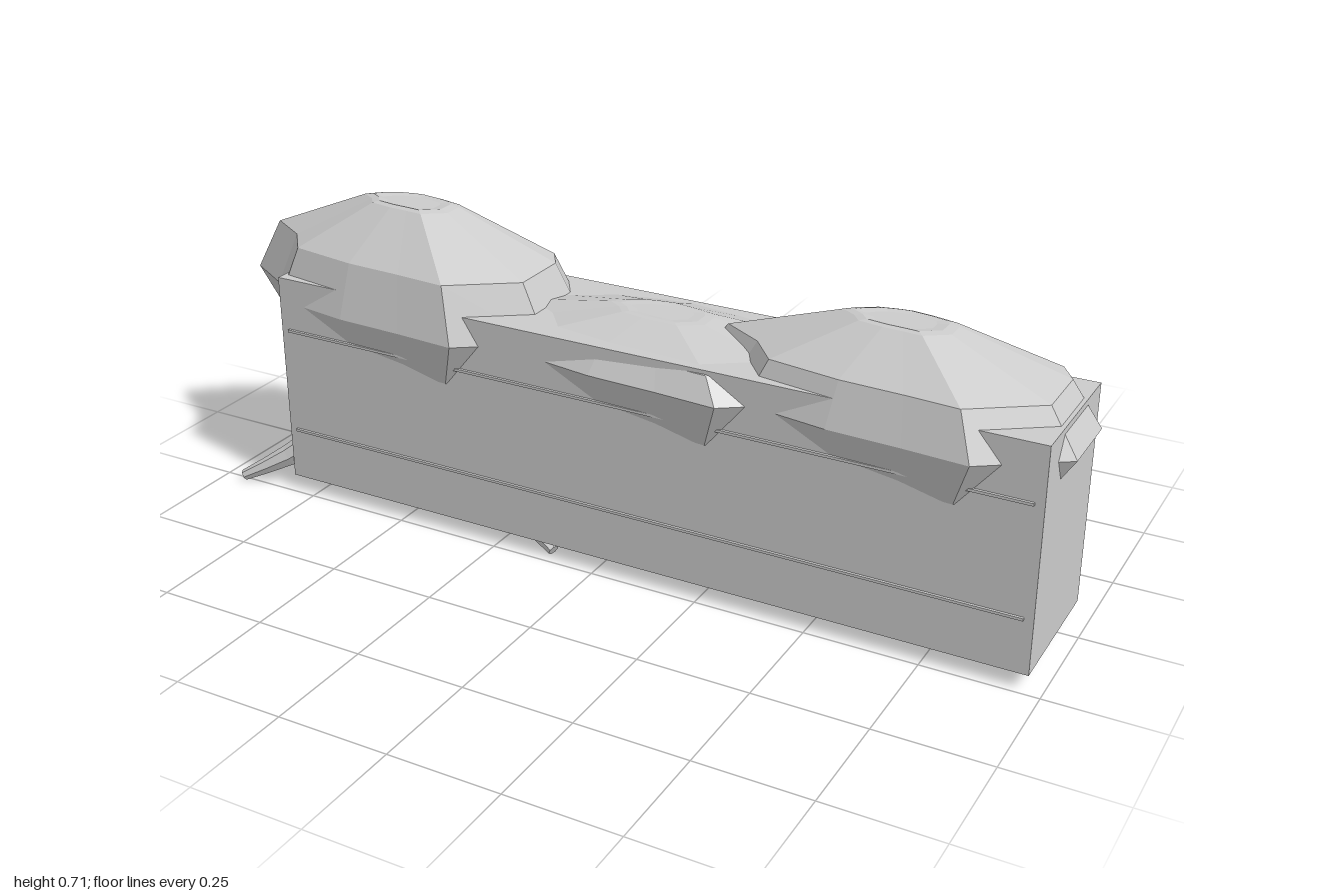
import * as THREE from 'three';

const material = new THREE.MeshStandardMaterial({ color: 0xcccccc, flatShading: true, side: THREE.DoubleSide });

// Skin over a list of closed rings (arrays of Vector3)
function loft(rings) {
  const n = rings[0].length, pos = [], idx = [];
  rings.forEach(r => r.forEach(p => pos.push(p.x, p.y, p.z)));
  for (let i = 0; i < rings.length - 1; i++) {
    for (let j = 0; j < n; j++) {
      const a = i * n + j, b = i * n + (j + 1) % n, c = b + n, d = a + n;
      idx.push(a, d, c, a, c, b);
    }
  }
  const g = new THREE.BufferGeometry();
  g.setAttribute('position', new THREE.Float32BufferAttribute(pos, 3));
  g.setIndex(idx);
  g.computeVertexNormals();
  return g;
}

function addMesh(group, name, geometry, x = 0, y = 0, z = 0) {
  const mesh = new THREE.Mesh(geometry, material);
  mesh.name = name;
  mesh.position.set(x, y, z);
  group.add(mesh);
  return mesh;
}

// Uneven plan of a foliage clump [x, z], about its own centre
const outline = [
  [-0.45, 0], [-0.37, -0.08], [-0.24, -0.155], [-0.09, -0.19], [0, -0.2], [0.17, -0.178],
  [0.35, -0.14], [0.39, -0.08], [0.39, 0.08], [0.22, 0.197], [0.08, 0.187],
  [-0.08, 0.18], [-0.27, 0.15], [-0.34, 0.065]
];

// Clump levels: [height, plan scale], ending in a shallow dimple
function clump(height) {
  const levels = [
    [-0.105, 0], [-0.105, 0.83], [0, 1], [height * 0.53, 0.84],
    [height * 0.98, 0.28], [height, 0.23], [height * 0.985, 0.17], [height * 0.985, 0]
  ];
  return loft(levels.map(([y, s]) => outline.map(([x, z]) => new THREE.Vector3(x * s, y, z * s))));
}

// Tapering root that sweeps down and outward toward (dx, dz)
function root(dx, dz) {
  const len = Math.hypot(dx, dz);
  const out = new THREE.Vector3(dx / len, 0, dz / len);
  const path = [[0.06, 0.28], [0.22, 0.15], [0.33, 0.075], [0.445, 0.016]]
    .map(([r, y]) => out.clone().multiplyScalar(r).setY(y));
  const curve = new THREE.CatmullRomCurve3(path);
  const side = new THREE.Vector3(-out.z, 0, out.x);
  const rings = [], steps = 6, sides = 7;
  const addRing = (t, radius) => {
    const p = curve.getPoint(t), axis = curve.getTangent(t);
    const up = side.clone().cross(axis);
    rings.push(Array.from({ length: sides }, (_, j) => {
      const a = j / sides * Math.PI * 2;
      return p.clone().addScaledVector(side, -Math.cos(a) * radius).addScaledVector(up, -Math.sin(a) * radius);
    }));
  };
  addRing(0, 0);
  for (let i = 0; i <= steps; i++) addRing(i / steps, THREE.MathUtils.lerp(0.052, 0.013, i / steps));
  addRing(1, 0);
  return loft(rings);
}

export function createModel() {
  const model = new THREE.Group();
  model.name = 'planter';

  // Trough
  addMesh(model, 'trough', new THREE.BoxGeometry(1.78, 0.495, 0.32), 0.08, 0.2875, 0.077);

  // Thin trim strips along both long sides
  for (const y of [0.163, 0.411]) {
    for (const z of [-0.086, 0.24]) {
      addMesh(model, 'trimStrip', new THREE.BoxGeometry(1.74, 0.006, 0.006), 0.08, y, z);
    }
  }

  // Foliage clumps along the top
  for (const [x, height] of [[-0.55, 0.235], [0.08, 0.095], [0.61, 0.182]]) {
    addMesh(model, 'foliageClump', clump(height), x, 0.475, 0.075);
  }

  // Three roots under the tallest clump
  for (const [dx, dz] of [[-0.41, 0.18], [0.267, -0.35], [0.427, 0.14]]) {
    addMesh(model, 'root', root(dx, dz), -0.537, 0, 0.08);
  }

  return model;
}
